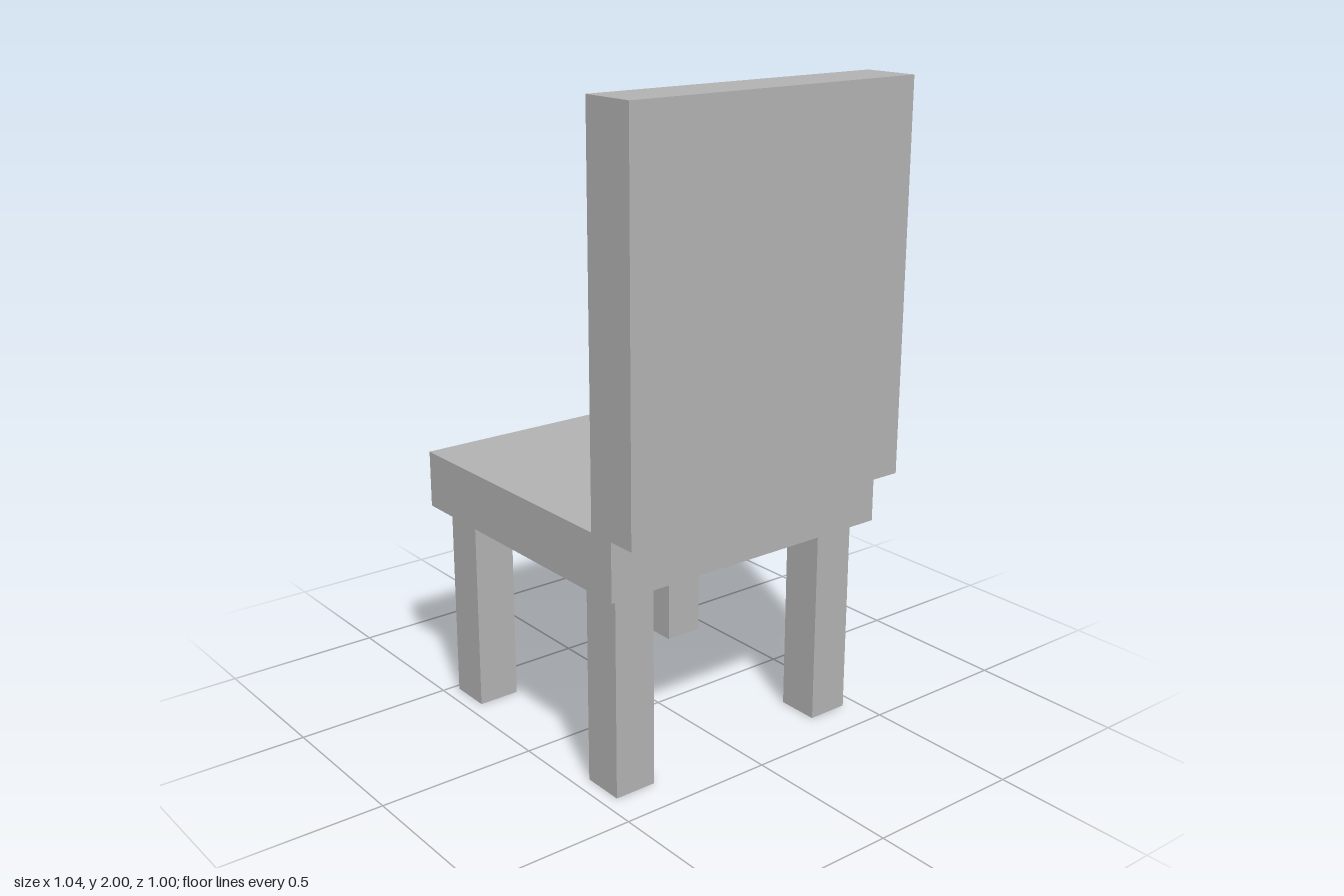
import * as THREE from 'three';

export function createModel() {
  const model = new THREE.Group();
  model.name = 'chair';
  const grey = new THREE.MeshStandardMaterial({ color: 0xb2b2b2 });
  grey.name = 'grey';

  // Box given by its size and the centre of its underside
  function addBlock(name, [w, h, d], [x, y, z]) {
    const mesh = new THREE.Mesh(new THREE.BoxGeometry(w, h, d), grey);
    mesh.name = name;
    mesh.position.set(x, y + h / 2, z);
    model.add(mesh);
  }

  // Seat slab, and the backrest overhanging its +x edge
  addBlock('seat', [0.95, 0.18, 1], [-0.045, 0.64, 0]);
  addBlock('backrest', [0.18, 1.18, 1], [0.43, 0.82, 0]);

  // Four square legs, inset from the seat edges
  for (const [xName, x] of [['Right', -0.41], ['Left', 0.315]]) {
    for (const [zName, z] of [['front', 0.385], ['back', -0.385]]) {
      addBlock(`${zName}${xName}Leg`, [0.135, 0.64, 0.135], [x, 0, z]);
    }
  }
  return model;
}
